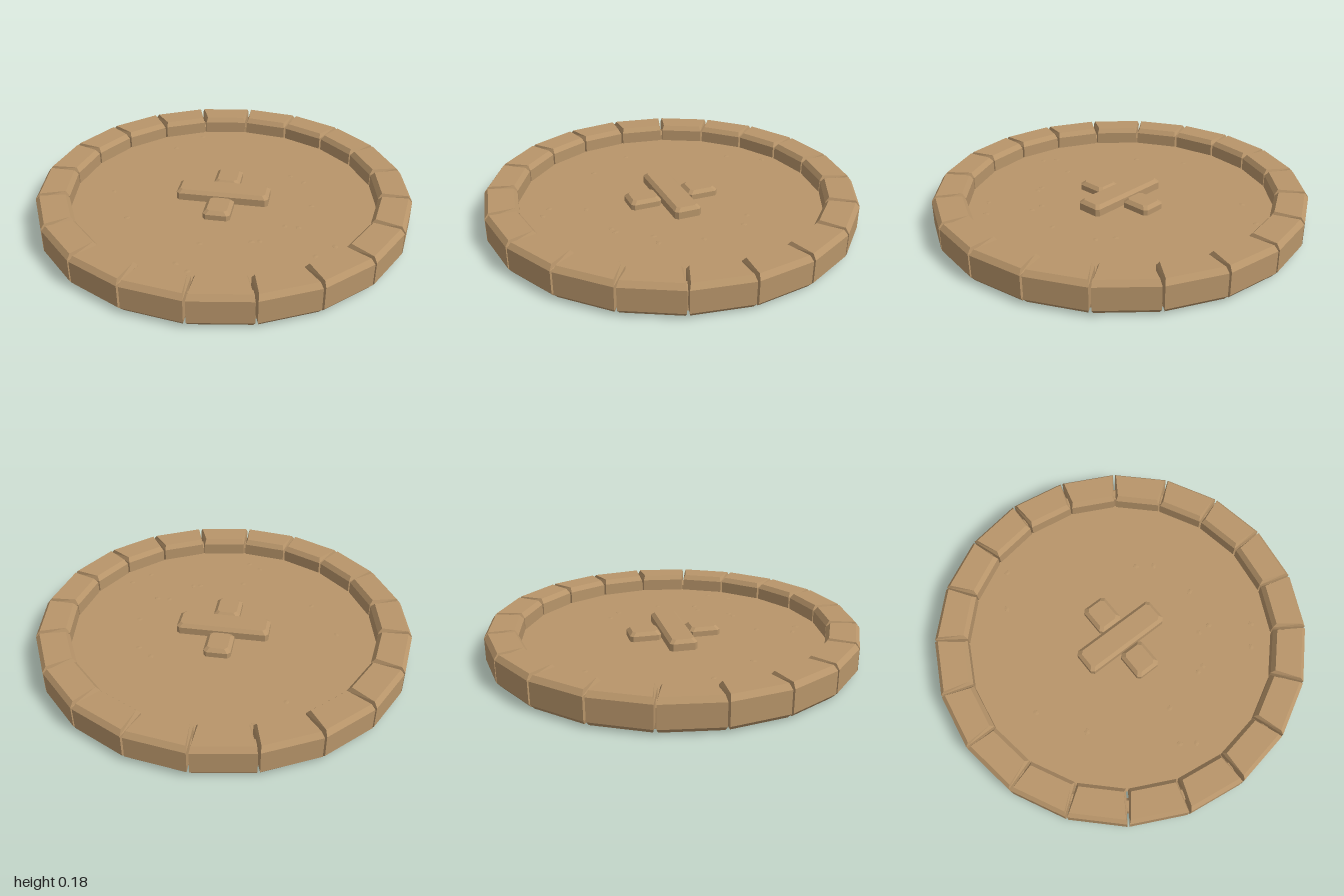
import * as THREE from 'three';

const sandstone = new THREE.MeshStandardMaterial({ color: 0xb8956a, side: THREE.DoubleSide });
sandstone.name = 'sandstone';

const FLOOR_Y = 0.083;
const STONES = 20;

// Flat-shaded copy of a geometry
function faceted(geometry) {
  const flat = geometry.index ? geometry.toNonIndexed() : geometry;
  flat.computeVertexNormals();
  return flat;
}

// Skin through loops of [x, y, z], counter-clockwise from above, capped on top only
function loft(loops) {
  const positions = [];
  const tri = (a, b, c) => positions.push(...a, ...b, ...c);
  const n = loops[0].length;
  for (let k = 0; k < loops.length - 1; k++) {
    for (let i = 0; i < n; i++) {
      const j = (i + 1) % n;
      const low = loops[k], high = loops[k + 1];
      tri(low[i], low[j], high[j]);
      tri(low[i], high[j], high[i]);
    }
  }
  const top = loops[loops.length - 1];
  for (let i = 1; i < n - 1; i++) tri(top[0], top[i], top[i + 1]);
  const geometry = new THREE.BufferGeometry();
  geometry.setAttribute('position', new THREE.Float32BufferAttribute(positions, 3));
  return faceted(geometry);
}

// Wedge-shaped hollow rim stone with bevelled upper and lower edges
function stoneGeometry() {
  const slope = Math.tan(Math.PI / STONES);
  const section = (y, radial, side) => {
    const outer = 0.988 - radial, inner = 0.815 + radial;
    const ho = 0.988 * slope - 0.006 - side, hi = 0.815 * slope - 0.006 - side;
    return [[outer, y, ho], [outer, y, -ho], [inner, y, -hi], [inner, y, hi]];
  };
  return loft([
    section(0.01, 0.018, 0.008), section(0.032, 0, 0),
    section(0.15, 0, 0), section(0.176, 0.02, 0.009),
  ]);
}

// Raised slab with clipped corners and a bevelled top
function slabGeometry(width, depth, top) {
  const section = (y, inset) => {
    const x = width / 2 - inset, z = depth / 2 - inset, c = 0.016;
    return [
      [x, y, z - c], [x, y, c - z], [x - c, y, -z], [c - x, y, -z],
      [-x, y, c - z], [-x, y, z - c], [c - x, y, z], [x - c, y, z],
    ];
  };
  return loft([section(FLOOR_Y - 0.002, 0), section(top - 0.018, 0), section(top, 0.018)]);
}

export function createModel() {
  const model = new THREE.Group();
  model.name = 'stoneRoundel';
  const add = (name, geometry, parent = model) => {
    const mesh = new THREE.Mesh(geometry, sandstone);
    mesh.name = name;
    parent.add(mesh);
    return mesh;
  };

  // Thin floor disc
  const floor = add('floorDisc', faceted(new THREE.CircleGeometry(0.83, 40).rotateX(-Math.PI / 2)));
  floor.position.y = FLOOR_Y;

  // Hollow ring running inside the rim stones
  const profile = [[0.93, 0], [0.93, 0.1], [0.915, 0.12], [0.88, 0.12], [0.865, 0.1], [0.865, 0]]
    .map(([r, y]) => new THREE.Vector2(r, y));
  add('innerRing', faceted(new THREE.LatheGeometry(profile, 40)));

  // Rim of stones
  const rim = new THREE.Group();
  rim.name = 'rimStones';
  model.add(rim);
  const stone = stoneGeometry();
  for (let i = 0; i < STONES; i++) {
    add('rimStone', stone, rim).rotation.y = (i + 0.5) * 2 * Math.PI / STONES;
  }

  // Raised cross: one long bar and two short slabs
  add('crossBar', slabGeometry(0.5, 0.148, 0.14));
  const shortSlab = slabGeometry(0.144, 0.17, 0.13);
  for (const side of [-1, 1]) add('crossSlab', shortSlab).position.z = side * 0.164;

  // Small pebbles sunk into the floor
  const pebbles = new THREE.Group();
  pebbles.name = 'pebbles';
  model.add(pebbles);
  const pebble = faceted(new THREE.SphereGeometry(0.024, 7, 4));
  const spots = [
    [-0.26, -0.71], [-0.39, -0.53], [0.34, -0.29], [0.42, -0.23], [-0.61, 0.05], [0.48, 0.02],
    [0.36, 0.24], [0.43, 0.24], [-0.46, 0.3], [0.62, 0.38], [0.21, 0.41], [0.25, 0.4],
    [-0.04, 0.47], [0.53, 0.48], [-0.12, 0.65], [-0.05, 0.7],
  ];
  spots.forEach(([x, z], i) => {
    const mesh = add('pebble', pebble, pebbles);
    mesh.position.set(x, FLOOR_Y - 0.004, z);
    mesh.scale.set(1, 0.25, 0.8);
    mesh.rotation.y = i * 1.3;
  });

  return model;
}
